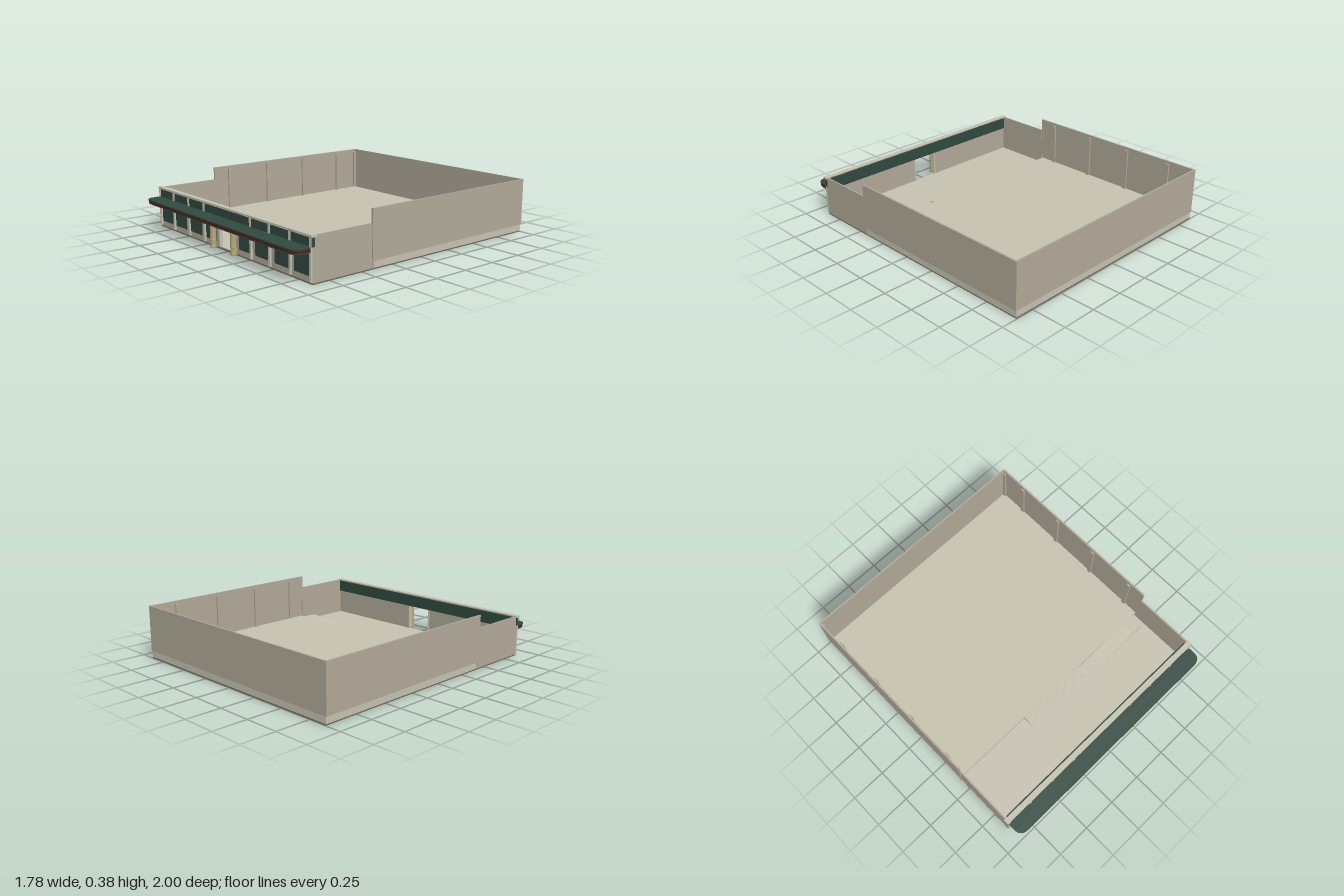
import * as THREE from 'three';

const mat = (color) => new THREE.MeshStandardMaterial({ color, roughness: 0.9 });

export function createModel() {
  const model = new THREE.Group();
  const wall = mat(0xb0a898), stone = mat(0xc5c1b0), green = mat(0x2f4a3f);
  const red = mat(0x5a1a18), tan = mat(0xb5a67a), edge = mat(0x6b665a);

  const add = (name, geometry, material) => {
    const mesh = new THREE.Mesh(geometry, material);
    mesh.name = name;
    model.add(mesh);
    return mesh;
  };
  // Box given by its lower and upper limits on each axis
  const box = (name, m, x0, x1, y0, y1, z0, z1) => {
    const mesh = add(name, new THREE.BoxGeometry(x1 - x0, y1 - y0, z1 - z0), m);
    mesh.position.set((x0 + x1) / 2, (y0 + y1) / 2, (z0 + z1) / 2);
    return mesh;
  };

  // Base and raised rear floor
  box('basePlate', edge, -0.884, 0.884, 0, 0.008, -0.997, 0.878);
  box('frontFloor', stone, -0.88, 0.88, 0.008, 0.014, 0.41, 0.87);
  box('rearFloor', stone, -0.884, 0.884, 0.008, 0.054, -0.996, 0.41);

  // Steps up to the rear floor
  for (let i = 0; i < 4; i++) {
    box('step', stone, -0.27, 0.265, 0.014, 0.046 - i * 0.008, 0.41, 0.43 + i * 0.02);
  }

  // Access ramp with a landing at the upper end
  const ramp = new THREE.Shape();
  ramp.moveTo(0.43, 0.014);
  ramp.lineTo(0.84, 0.014);
  ramp.lineTo(0.84, 0.054);
  ramp.lineTo(0.735, 0.054);
  ramp.closePath();
  add('ramp', new THREE.ExtrudeGeometry(ramp, { depth: 0.1, bevelEnabled: false }), stone).position.z = 0.41;

  // Rear hall walls
  box('backWall', wall, -0.89, 0.89, 0.054, 0.38, -1, -0.988);
  for (const s of [-1, 1]) {
    const side = (name, m, a, b, ...rest) => box(name, m, Math.min(s * a, s * b), Math.max(s * a, s * b), ...rest);
    side('hallSideWall', wall, 0.878, 0.89, 0.054, 0.38, -0.988, 0.42);
    side('hallEndPost', wall, 0.876, 0.89, 0.01, 0.38, 0.41, 0.424);
    side('frontSideWall', wall, 0.874, 0.884, 0.008, 0.29, 0.424, 0.878);
    for (const z of [-0.98, -0.78, -0.42, -0.065, 0.29]) {
      side('innerPilaster', wall, 0.866, 0.879, 0.054, 0.36, z - 0.015, z + 0.015);
    }
  }

  // Front wall with the entrance cut through it
  const facade = new THREE.Shape();
  [[-0.88, 0.008], [-0.095, 0.008], [-0.095, 0.215], [0.095, 0.215], [0.095, 0.008],
    [0.88, 0.008], [0.88, 0.285], [-0.88, 0.285]]
    .forEach(([x, y], i) => (i ? facade.lineTo(x, y) : facade.moveTo(x, y)));
  add('frontWall', new THREE.ExtrudeGeometry(facade, { depth: 0.014, bevelEnabled: false }), wall).position.z = 0.862;

  // Window panels and pilasters on both halves of the front
  for (const s of [-1, 1]) {
    for (const [a, b] of [[0.135, 0.262], [0.315, 0.465], [0.52, 0.668], [0.71, 0.86]]) {
      const x0 = Math.min(s * a, s * b), x1 = Math.max(s * a, s * b);
      box('windowPanel', green, x0, x1, 0.045, 0.192, 0.872, 0.879);
    }
    for (const x of [0.275, 0.475, 0.68, 0.875]) {
      box('frontPilaster', stone, s * x - 0.009, s * x + 0.009, 0.014, 0.276, 0.872, 0.889);
    }
    box('doorJamb', stone, s * 0.098 - 0.005, s * 0.098 + 0.005, 0.014, 0.215, 0.856, 0.88);
  }

  // Green sign band, its inner side and the cornice
  box('signBand', green, -0.887, 0.887, 0.222, 0.284, 0.861, 0.884);
  box('innerBand', green, -0.86, 0.86, 0.2, 0.285, 0.842, 0.864);
  box('cornice', stone, -0.892, 0.892, 0.28, 0.294, 0.853, 0.89);

  // Canopy with rounded front corners, built in three layers
  const canopyLayer = (name, m, y0, y1, inset) => {
    const w = 0.882 - inset, f = 1 - inset, r = 0.07;
    const s = new THREE.Shape();
    s.moveTo(-w, -0.876);
    s.lineTo(-w, -f + r);
    s.quadraticCurveTo(-w, -f, -w + r, -f);
    s.lineTo(w - r, -f);
    s.quadraticCurveTo(w, -f, w, -f + r);
    s.lineTo(w, -0.876);
    s.closePath();
    const g = new THREE.ExtrudeGeometry(s, { depth: y1 - y0, bevelEnabled: false, curveSegments: 8 });
    g.rotateX(-Math.PI / 2);
    add(name, g, m).position.y = y0;
  };
  canopyLayer('canopyUnderside', green, 0.19, 0.198, 0.004);
  canopyLayer('canopyStripe', red, 0.198, 0.214, 0.002);
  canopyLayer('canopyTop', green, 0.214, 0.222, 0);

  // Entrance columns with ringed shafts
  const profile = [[0, 0.014], [0.024, 0.014], [0.024, 0.024], [0.02, 0.026], [0.02, 0.06], [0.022, 0.062],
    [0.022, 0.066], [0.02, 0.068], [0.019, 0.145], [0.021, 0.147], [0.021, 0.152], [0.019, 0.154],
    [0.019, 0.178], [0.024, 0.182], [0.024, 0.192], [0, 0.192]].map(([x, y]) => new THREE.Vector2(x, y));
  for (const x of [-0.12, 0.12]) {
    add('entranceColumn', new THREE.LatheGeometry(profile, 20), tan).position.set(x, 0, 0.912);
  }
  return model;
}
